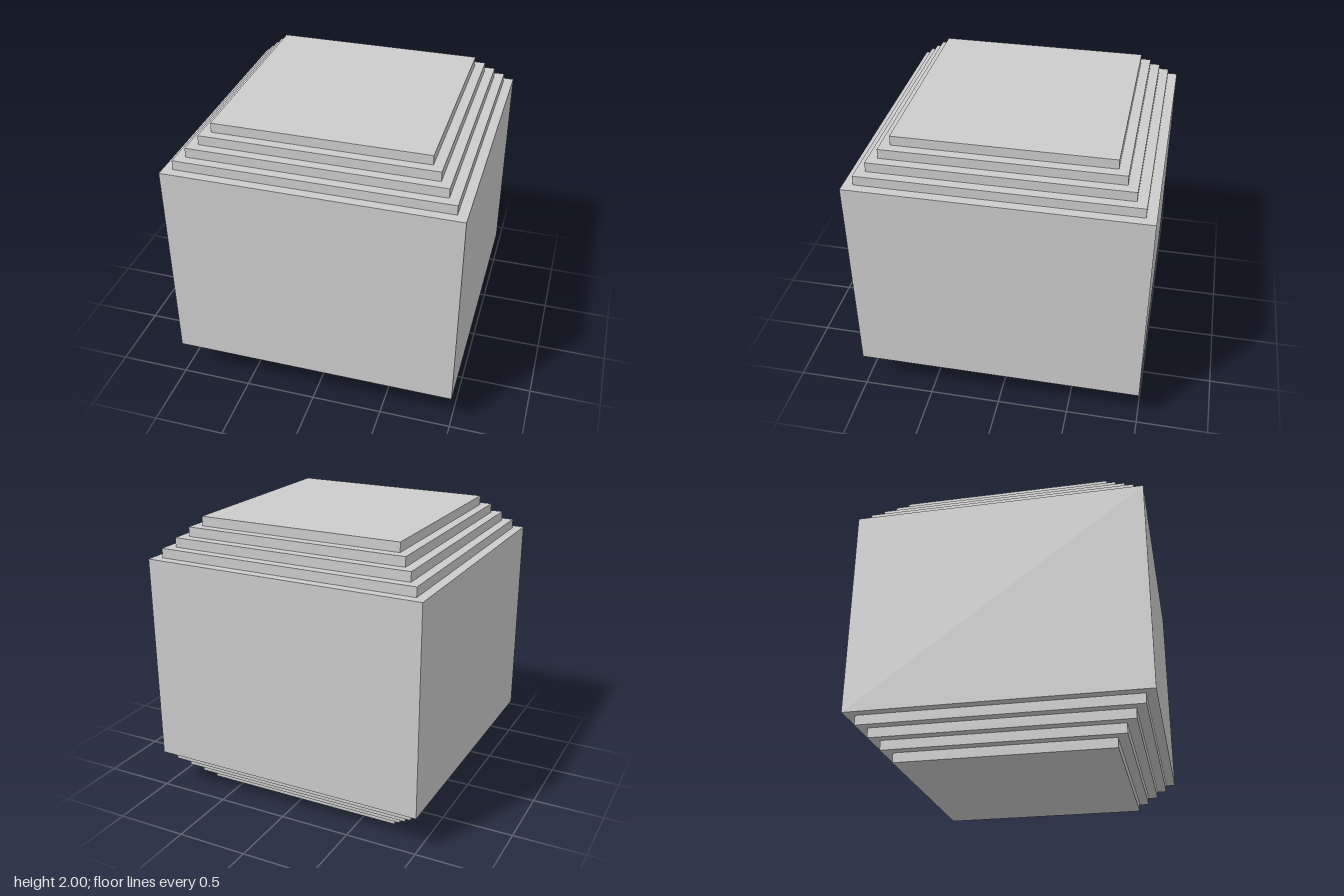
import * as THREE from 'three';

const STEP = 1 / 15; // height and inset of every step
const STEPS = 4;

export function createModel() {
  const group = new THREE.Group();
  group.name = 'steppedCube';
  const material = new THREE.MeshStandardMaterial({ color: 0xcccccc, flatShading: true });

  // Square slab centred on the vertical axis
  const addSlab = (name, width, height, y) => {
    const mesh = new THREE.Mesh(new THREE.BoxGeometry(width, height, width), material);
    mesh.name = name;
    mesh.position.y = y;
    group.add(mesh);
  };

  // Main block
  const bodyHeight = 2 - 2 * STEPS * STEP;
  addSlab('body', 2, bodyHeight, 1);

  // Shrinking steps, mirrored above and below the block
  for (let i = 1; i <= STEPS; i++) {
    const width = 2 - 2 * i * STEP;
    const offset = bodyHeight / 2 + (i - 0.5) * STEP;
    addSlab(`topStep${i}`, width, STEP, 1 + offset);
    addSlab(`bottomStep${i}`, width, STEP, 1 - offset);
  }

  return group;
}
